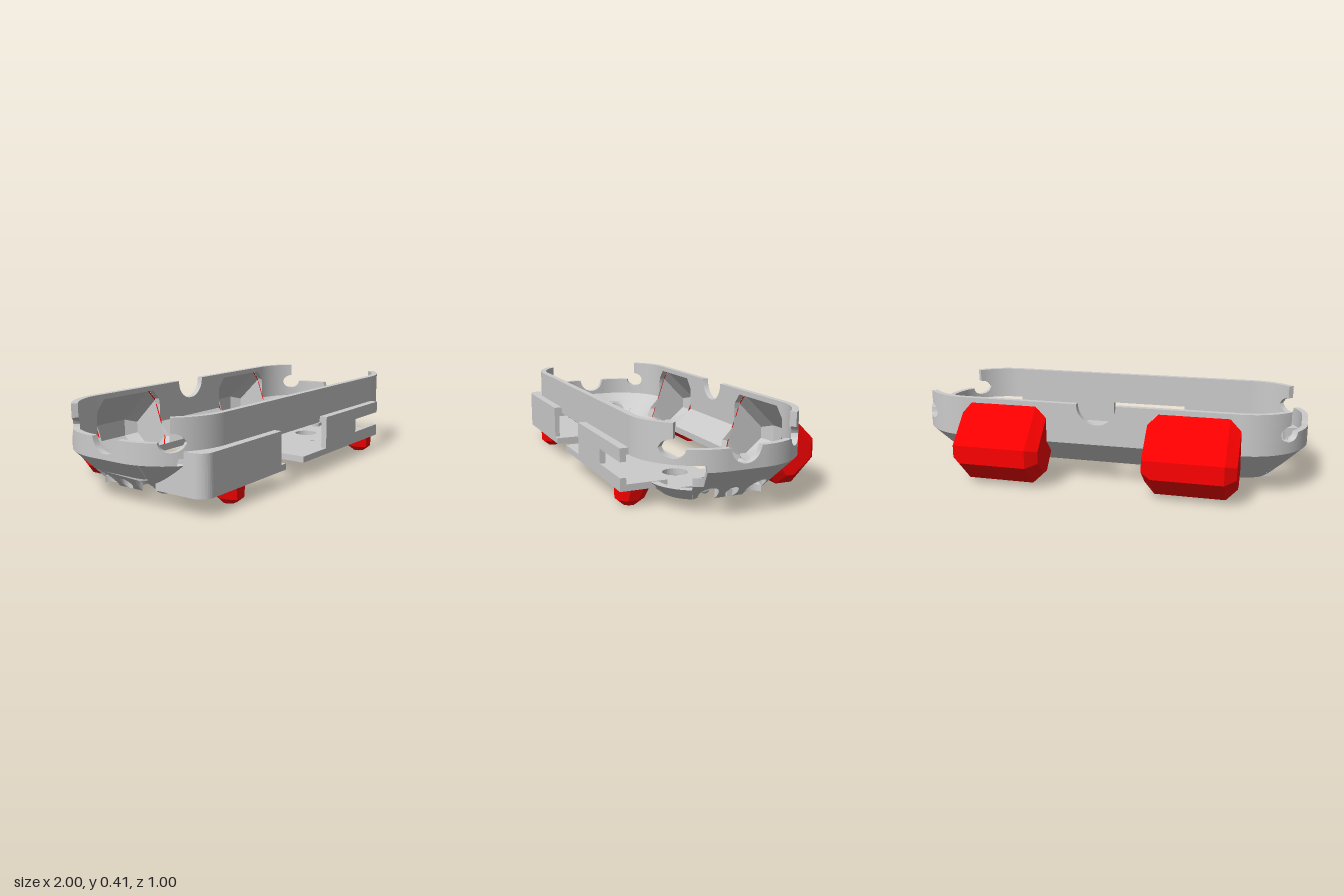
import * as THREE from 'three';
import { toCreasedNormals } from 'three/addons/utils/BufferGeometryUtils.js';
import { ConvexGeometry } from 'three/addons/geometries/ConvexGeometry.js';

const grey = new THREE.MeshStandardMaterial({ color: 0xcccccc, side: THREE.DoubleSide });
const red = new THREE.MeshStandardMaterial({ color: 0xff0000, side: THREE.DoubleSide });

// Rounded-rectangle outline: corner centres, radius and inset of the floor
const CX = 0.69, ZF = 0.15, ZB = -0.01, R = 0.31, DROP = 0.16;
const { clamp, lerp } = THREE.MathUtils;

function addMesh(parent, name, geometry, material = grey) {
  const mesh = new THREE.Mesh(geometry, material);
  mesh.name = name;
  parent.add(mesh);
  return mesh;
}

function arc(cx, cz, r, a0, a1, n = 16) {
  const pts = [];
  for (let i = 0; i <= n; i++) {
    const a = a0 + (a1 - a0) * i / n;
    pts.push([cx + r * Math.cos(a), cz + r * Math.sin(a)]);
  }
  return pts;
}

const circle = (x, z, r) => arc(x, z, r, 0, Math.PI * 2, 24).slice(0, -1);
const rect = (x0, z0, x1, z1) => [[x0, z0], [x1, z0], [x1, z1], [x0, z1]];
const mirror = pts => pts.map(([x, z]) => [-x, z]);
const toVec = pts => pts.map(([x, z]) => new THREE.Vector2(x, z));

// Horizontal plate drawn in x and z, from yTop downwards
function slab(pts, yTop, depth, holes = []) {
  const shape = new THREE.Shape(toVec(pts));
  shape.holes = holes.map(h => new THREE.Path(toVec(h)));
  return new THREE.ExtrudeGeometry(shape, { depth, bevelEnabled: false })
    .rotateX(Math.PI / 2).translate(0, yTop, 0);
}

function triangles(pos) {
  const g = new THREE.BufferGeometry();
  g.setAttribute('position', new THREE.Float32BufferAttribute(pos, 3));
  g.computeVertexNormals();
  return g;
}

// Stations round the outline: base point and outward normal
function makeStations() {
  const bases = [[CX, ZF], [CX, ZB], [-CX, ZB], [-CX, ZF]];
  const list = [];
  bases.forEach(([x, z], k) => {
    for (let i = 0; i < 80; i++) {
      const a = (k + i / 80) * Math.PI / 2;
      list.push({ x, z, nx: Math.sin(a), nz: Math.cos(a) });
    }
    const [x2, z2] = bases[(k + 1) % 4], a = (k + 1) * Math.PI / 2;
    const n = k % 2 ? 276 : 24;
    for (let i = 0; i < n; i++)
      list.push({ x: lerp(x, x2, i / n), z: lerp(z, z2, i / n), nx: Math.sin(a), nz: Math.cos(a) });
  });
  return list;
}
const stations = makeStations();

// Sweeps a four-point section [inset, y] round the outline; null leaves a gap
function sweep(section) {
  const rows = stations.map(s => {
    const sec = section(s.x + s.nx * R, s.z + s.nz * R, s);
    return sec && sec.map(([d, y]) => [s.x + s.nx * (R - d), y, s.z + s.nz * (R - d)]);
  });
  const pos = [];
  const quad = (a, b, c, d) => pos.push(...a, ...b, ...c, ...a, ...c, ...d);
  rows.forEach((row, i) => {
    const next = rows[(i + 1) % rows.length], prev = rows[(i + rows.length - 1) % rows.length];
    if (!row) return;
    if (!prev) quad(row[0], row[1], row[2], row[3]);
    if (!next) return quad(row[3], row[2], row[1], row[0]);
    for (let j = 0; j < 4; j++) {
      const k = (j + 1) % 4;
      quad(row[j], next[j], next[k], row[k]);
    }
  });
  return toCreasedNormals(triangles(pos), 0.5);
}

const cap = (d, r) => Math.sqrt(Math.max(0, r * r - d * d));
const inPocket = (x, z) => z < -0.31 && Math.abs(x) > 0.255 && Math.abs(x) < 0.7;
// 0 at the ends of a pocket, 1 past its bevel
const pocketBevel = x => clamp((0.2225 - Math.abs(Math.abs(x) - 0.4775)) / 0.05, 0, 1);
const wall = (y0, y1) => [[0, y0], [0, y1], [0.03, y1], [0.03, y0]];
const midZ = s => s.z + s.nz * (R - 0.015);

function upperWall(x, z, s) {
  const m = midZ(s);
  if (m > -0.205 && m < 0.35) return null;
  const y0 = inPocket(x, z) ? lerp(0.33, 0.385, pocketBevel(x))
    : 0.305 + Math.max(cap(m - 0.35, 0.04), cap(m + 0.205, 0.04));
  return wall(y0, 0.41 - (z < 0 ? cap(x, 0.1) : 0));
}

function lowerWall(x, z, s) {
  if (inPocket(x, z)) return null;
  const m = midZ(s);
  const bite = Math.max(cap(m - 0.35, 0.04), cap(m + 0.205, 0.04), cap(m - 0.07, 0.07));
  return wall(z > 0.24 && x > -0.9 ? 0.24 : 0.21, 0.305 - bite);
}

function slope(x, z, s) {
  const side = s.nz > -0.68 && s.nz < 0.478;           // lower half is a separate panel
  if (z > 0.24) {                                      // below the board bay
    const gap = z > 0.45 && (x > -0.38 && x < -0.11 || Math.abs(x - 0.23) < 0.012);
    return side || gap ? null : [[DROP, 0.05], [0.1, 0.108], [0.135, 0.108], [DROP, 0.085]];
  }
  const d0 = inPocket(x, z) ? lerp(0.065, 0.105, pocketBevel(x)) : 0;
  const d1 = side ? 0.08 : z < -0.31 && x > -0.51 && x < 0.5 ? 0.125 : DROP;
  return [[d1, 0.21 - d1], [d0, 0.21 - d0], [Math.min(d0 + 0.03, d1), 0.215 - d0], [d1, 0.245 - d1]];
}

// Slope left outside the end of the board bay
function baySlope(x, z, s) {
  const d = Math.min(0.1, R - 0.19 / Math.abs(s.nx));
  return z > 0.24 && x < -0.88 && d > 0 ? [[d, 0.21 - d], [0, 0.21], [d, 0.215], [d, 0.215 - d]] : null;
}

// Round hole crossing the crease between floor and side slope
function creaseBite(x, z, r, onSlope) {
  const a = Math.acos((0.84 - x) / r);
  return arc(x, z, r, a, onSlope ? -a : 2 * Math.PI - a);
}

function sidePanel(sign) {
  const pts = [...arc(CX, ZB, R - 0.08, -0.75, 0), ...arc(CX, ZF, R - 0.08, 0, 0.5),
    ...arc(CX, ZF, R - DROP, 0.5, 0.5, 1).slice(1), ...creaseBite(0.86, 0.17, 0.045, true),
    ...creaseBite(0.865, 0.06, 0.03, true), ...creaseBite(0.86, -0.055, 0.05, true),
    ...arc(CX, ZB, R - DROP, -0.75, -0.75, 1).slice(1)];
  const g = slab(sign > 0 ? pts : mirror(pts), 0.245, 0.035).toNonIndexed();
  const p = g.attributes.position;
  for (let i = 0; i < p.count; i++) {
    const z = p.getZ(i), dz = z - clamp(z, ZB, ZF);
    const inset = R - Math.hypot(Math.abs(p.getX(i)) - CX, dz);
    p.setY(i, p.getY(i) - clamp(inset, 0, DROP));
  }
  return toCreasedNormals(g, 0.5);
}

function floor() {
  const half = [...arc(CX, ZF, 0.15, Math.PI / 2, 0.6435), [0.73, 0.24], [0.73, 0.07], [0.84, 0.07],
    ...creaseBite(0.86, -0.055, 0.05, false), ...arc(CX, ZB, 0.15, -0.75, -Math.PI / 2)];
  const pts = [[-0.38, 0.3], [-0.38, 0.19], [-0.11, 0.19], [-0.11, 0.3], ...half,
    [0.5, -0.16], [0.5, 0.03], [-0.51, 0.03], [-0.51, -0.16], ...mirror(half).reverse()];
  return slab(pts, 0.08, 0.03, [circle(-0.505, 0.155, 0.06), circle(0.495, 0.155, 0.06)]);
}

// Rear foot: bevelled block tilted 45 degrees, hollow and open towards the shell
function rearFoot(scale) {
  const full = [[-0.215, 0.1], [-0.3, 0.01], [-0.385, 0.01], [-0.5, 0.12], [-0.5, 0.21], [-0.32, 0.385]];
  const end = [[-0.255, 0.14], [-0.325, 0.06], [-0.365, 0.06], [-0.455, 0.135], [-0.455, 0.195], [-0.32, 0.33]];
  const rows = [[-0.2225, end], [-0.17, full], [0.17, full], [0.2225, end]].map(([x, pr]) =>
    pr.map(([z, y]) => [x * scale, 0.2 + (y - 0.2) * scale, -0.29 + (z + 0.29) * scale]));
  const pos = [];
  for (let i = 0; i < 3; i++) for (let j = 0; j < 5; j++) {
    const a = rows[i][j], b = rows[i][j + 1], c = rows[i + 1][j + 1], d = rows[i + 1][j];
    pos.push(...a, ...b, ...c, ...a, ...c, ...d);
  }
  for (let j = 1; j < 5; j++) {
    pos.push(...rows[0][0], ...rows[0][j + 1], ...rows[0][j]);
    pos.push(...rows[3][0], ...rows[3][j], ...rows[3][j + 1]);
  }
  return triangles(pos);
}

function frontFoot() {
  const pts = [];
  for (const [y, w, z0, z1] of [[0.085, 0.065, 0.34, 0.49], [0.025, 0.05, 0.37, 0.49], [0, 0.03, 0.405, 0.46]]) {
    const c = (z1 - z0) * 0.3;
    for (const [x, z] of [...rect(-w, z0 + c, w, z1 - c), ...rect(-w / 2, z0, w / 2, z1)])
      pts.push(new THREE.Vector3(x, y, z));
  }
  return new ConvexGeometry(pts);
}

export function createModel() {
  const model = new THREE.Group();
  model.name = 'tray';

  // Shell
  for (const section of [upperWall, lowerWall, slope, baySlope]) addMesh(model, section.name, sweep(section));
  for (const s of [1, -1]) addMesh(model, s > 0 ? 'leftSidePanel' : 'rightSidePanel', sidePanel(s));
  addMesh(model, 'floor', floor());

  // Board bay at the front
  const corner = arc(-0.82, 0.44, 0.06, Math.PI / 2, Math.PI, 10);
  addMesh(model, 'bayShelfRight', slab([[-0.38, 0.28], [-0.38, 0.33], [-0.27, 0.33], [-0.27, 0.5],
    ...corner, [-0.88, 0.24], [-0.84, 0.24], [-0.8, 0.28]], 0.11, 0.03));
  addMesh(model, 'bayShelfLeft', slab(rect(-0.11, 0.28, 0.69, 0.5), 0.11, 0.03, [circle(0.23, 0.355, 0.012)]));
  addMesh(model, 'bayPanelRight', slab([[-0.31, 0.5], ...corner, [-0.88, 0.24], [-0.86, 0.24],
    ...arc(-0.82, 0.44, 0.035, Math.PI, Math.PI / 2, 8), [-0.31, 0.475]], 0.25, 0.16));
  addMesh(model, 'bayRoofRight', slab([[-0.31, 0.44], [-0.31, 0.5], ...corner,
    [-0.88, 0.39], [-0.86, 0.39], [-0.8, 0.42], [-0.69, 0.44]], 0.27, 0.03));
  addMesh(model, 'bayRoofLeft', slab(rect(0.11, 0.44, 0.69, 0.5), 0.27, 0.03));
  const panel = new THREE.Shape(toVec([[0.11, 0.1], [0.69, 0.1], [0.69, 0.14], [0.43, 0.14],
    [0.43, 0.21], [0.69, 0.21], [0.69, 0.26], [0.11, 0.26]]));
  addMesh(model, 'bayPanelLeft', new THREE.ExtrudeGeometry(panel, { depth: 0.028, bevelEnabled: false })
    .translate(0, 0, 0.472));

  // Screw bosses with domed heads below
  for (const [x, z] of [[-0.56, -0.085], [0.55, -0.085], [0.7, 0.105], [-0.705, 0.205]]) {
    const boss = new THREE.Group();
    boss.name = 'screwBoss';
    boss.position.set(x, 0, z);
    addMesh(boss, 'collar', slab(circle(0, 0, Math.abs(x) > 0.6 ? 0.022 : 0.038), 0.1, 0.03, [circle(0, 0, 0.014)]));
    addMesh(boss, 'dome', new THREE.SphereGeometry(0.022, 20, 12).translate(0, 0.05, 0));
    model.add(boss);
  }

  // Feet
  const rear = rearFoot(1), lining = rearFoot(0.97), front = frontFoot();
  for (const s of [1, -1]) {
    addMesh(model, 'rearFoot', rear, red).position.x = s * 0.4775;
    addMesh(model, 'rearFootLining', lining).position.x = s * 0.4775;
    addMesh(model, 'frontFoot', front, red).position.x = s * 0.615;
  }
  return model;
}
